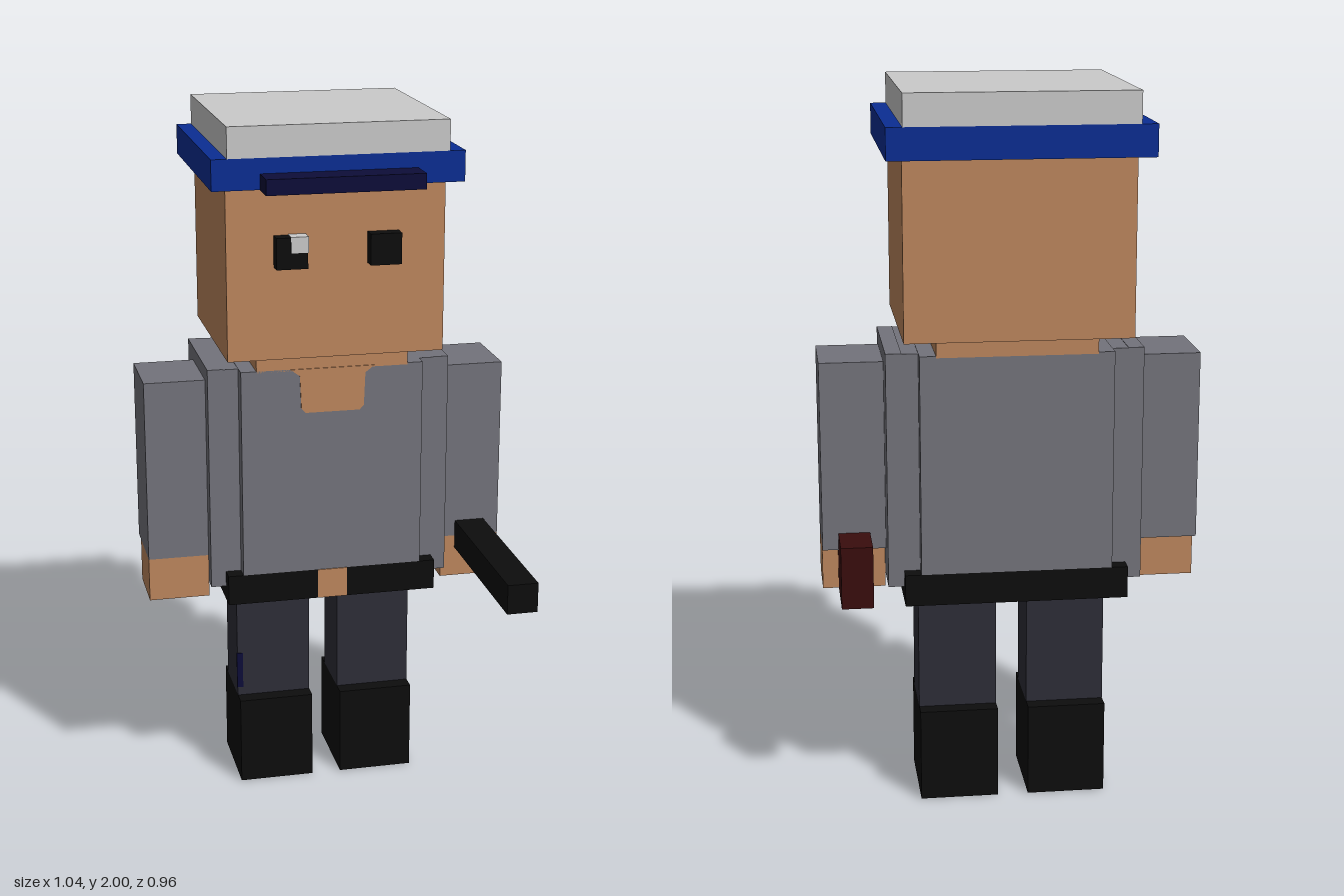
import * as THREE from 'three';

function mat(name, color) {
  const m = new THREE.MeshStandardMaterial({ color });
  m.name = name;
  return m;
}

export function createModel() {
  const skin = mat('skin', 0xbd865d);
  const shirt = mat('shirtGrey', 0x73737b);
  const trousers = mat('trouserCharcoal', 0x2d2d37);
  const black = mat('black', 0x0d0d0d);
  const white = mat('capWhite', 0xcacaca);
  const blue = mat('bandBlue', 0x0b2d93);
  const navy = mat('navy', 0x0d0d38);
  const maroon = mat('gripMaroon', 0x390d0d);

  const model = new THREE.Group();
  model.name = 'blockFigure';

  // Box given by its extents on each axis
  function box(name, material, [x0, x1], [y0, y1], [z0, z1], parent = model) {
    const mesh = new THREE.Mesh(new THREE.BoxGeometry(x1 - x0, y1 - y0, z1 - z0), material);
    mesh.position.set((x0 + x1) / 2, (y0 + y1) / 2, (z0 + z1) / 2);
    mesh.name = name;
    parent.add(mesh);
    return mesh;
  }
  // The same extent on the left (+1) or right (-1) side
  const side = (s, a, b) => (s > 0 ? [a, b] : [-b, -a]);

  // Head and cap
  box('head', skin, [-0.305, 0.305], [1.35, 1.83], [-0.435, 0.09]);
  box('neck', skin, [-0.217, 0.217], [1.3, 1.35], [-0.39, 0.043]);
  box('capBand', blue, [-0.348, 0.348], [1.83, 1.915], [-0.48, 0.13]);
  box('capTop', white, [-0.305, 0.305], [1.915, 2], [-0.48, 0.13]);
  box('capVisor', navy, [-0.217, 0.217], [1.83, 1.873], [0.13, 0.217]);

  // Eyes, with a glint in the right one
  for (const s of [1, -1]) box('eye', black, side(s, 0.087, 0.174), [1.61, 1.697], [0.09, 0.13]);
  box('eyeGlint', white, [-0.134, -0.086], [1.655, 1.699], [0.09, 0.133]);

  // Torso: deep middle with shallower sides
  box('torso', shirt, [-0.261, 0.261], [0.7, 1.305], [-0.39, 0.043]);
  box('torsoSides', shirt, [-0.305, 0.305], [0.7, 1.304], [-0.348, 0]);

  // Open collar, wider at its top edge
  const collar = new THREE.Shape();
  collar.moveTo(-0.12, 1.305);
  for (const [x, y] of [[-0.094, 1.285], [-0.09, 1.19], [-0.078, 1.177],
    [0.078, 1.177], [0.09, 1.19], [0.094, 1.285], [0.12, 1.305]]) collar.lineTo(x, y);
  const openCollar = new THREE.Mesh(
    new THREE.ExtrudeGeometry(collar, { depth: 0.004, bevelEnabled: false }), skin);
  openCollar.position.z = 0.042;
  openCollar.name = 'openCollar';
  model.add(openCollar);

  // Belt with a skin-coloured gap at the front
  box('belt', black, [-0.305, 0.305], [0.612, 0.7], [-0.39, 0.043]);
  box('beltGap', skin, [-0.043, 0.043], [0.613, 0.7], [0.04, 0.046]);

  // Arms and legs
  for (const s of [1, -1]) {
    const limbs = new THREE.Group();
    limbs.name = s > 0 ? 'leftLimbs' : 'rightLimbs';
    model.add(limbs);
    box('shoulderPanel', shirt, side(s, 0.305, 0.348), [0.655, 1.305], [-0.348, 0], limbs);
    box('sleeve', shirt, side(s, 0.348, 0.522), [0.738, 1.265], [-0.261, -0.043], limbs);
    box('hand', skin, side(s, 0.348, 0.522), [0.612, 0.738], [-0.215, -0.043], limbs);
    box('trouserLeg', trousers, side(s, 0.043, 0.261), [0.263, 0.612], [-0.261, -0.087], limbs);
    box('boot', black, side(s, 0.043, 0.261), [0, 0.263], [-0.304, -0.043], limbs);
  }
  box('legPatch', navy, [-0.263, -0.245], [0.29, 0.4], [-0.09, -0.084]);

  // Baton held in the left hand
  box('batonShaft', black, [0.391, 0.478], [0.7, 0.785], [-0.043, 0.48]);
  box('batonGrip', maroon, [0.391, 0.478], [0.612, 0.785], [-0.392, -0.215]);

  return model;
}
